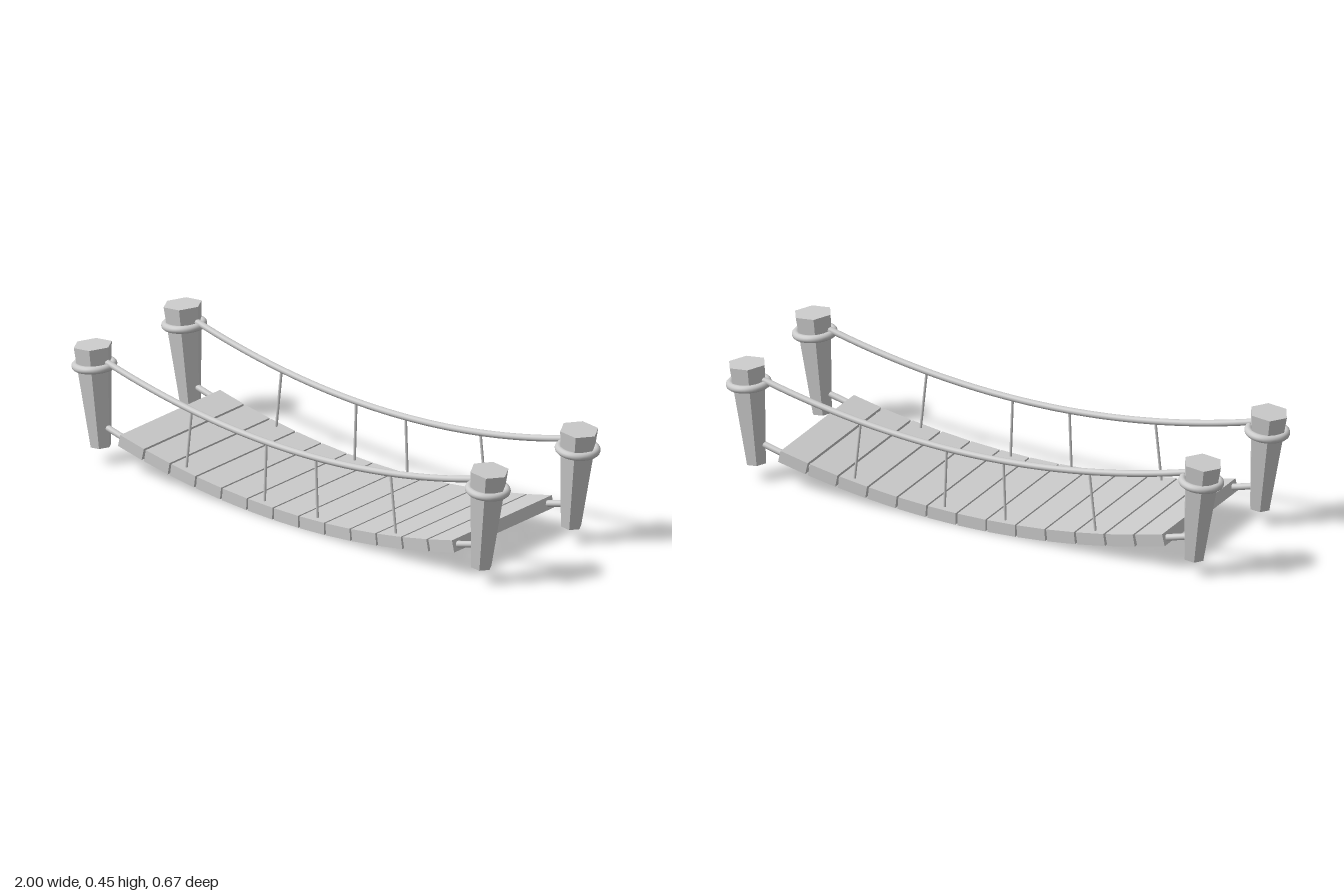
import * as THREE from 'three';

const SIDE_Z = 0.25;
const deckY = x => 0.023 + 0.157 * x * x;   // sagging line of the deck
const railY = x => 0.275 + 0.156 * x * x;   // sagging line of the hand ropes

export function createModel() {
  const group = new THREE.Group();
  group.name = 'ropeBridge';
  const smooth = new THREE.MeshStandardMaterial({ color: 0xcccccc });
  const flat = new THREE.MeshStandardMaterial({ color: 0xcccccc, flatShading: true });

  const add = (parent, name, geometry, material) => {
    const mesh = new THREE.Mesh(geometry, material);
    mesh.name = name;
    parent.add(mesh);
    return mesh;
  };

  // Rope following a height rule between -end and +end
  const rope = (name, heightAt, end, z, radius) => {
    const points = [];
    for (let i = 0; i <= 16; i++) {
      const x = -end + (2 * end * i) / 16;
      points.push(new THREE.Vector3(x, heightAt(x), z));
    }
    const curve = new THREE.CatmullRomCurve3(points);
    add(group, name, new THREE.TubeGeometry(curve, 48, radius, 10), smooth);
  };

  // Planks, each turned to follow the sag
  const plankGeometry = new THREE.BoxGeometry(0.113, 0.046, 0.556);
  for (let i = -6; i <= 6; i++) {
    const x = i * 0.1205;
    const plank = add(group, 'plank', plankGeometry, flat);
    plank.position.set(x, deckY(x), 0);
    plank.rotation.z = Math.atan(2 * 0.157 * x);
  }

  // Tapered hexagonal posts leaning outwards, each with a rope ring
  const postGeometry = new THREE.CylinderGeometry(0.0725, 0.039, 0.382, 6);
  postGeometry.rotateY(Math.PI / 2);
  postGeometry.translate(0, 0.191, 0);
  const ringGeometry = new THREE.TorusGeometry(0.068, 0.0145, 12, 40);
  ringGeometry.rotateX(Math.PI / 2);
  for (const sx of [-1, 1]) {
    for (const sz of [-1, 1]) {
      const corner = new THREE.Group();
      corner.name = 'postAssembly';
      add(corner, 'post', postGeometry, flat);
      add(corner, 'postRing', ringGeometry, smooth).position.y = 0.307;
      corner.position.set(sx * 0.886, 0.061, sz * SIDE_Z);
      corner.rotation.z = -sx * 0.1;
      group.add(corner);
    }
  }

  // Hand ropes, deck ropes and thin hangers on both sides
  for (const z of [-SIDE_Z, SIDE_Z]) {
    rope('handRope', railY, 0.86, z, 0.012);
    rope('deckRope', deckY, 0.87, z, 0.012);
    for (const [topX, bottomX] of [[0.463, 0.49], [0.115, 0.124]]) {
      for (const sx of [-1, 1]) {
        const path = new THREE.LineCurve3(
          new THREE.Vector3(sx * topX, railY(topX), z),
          new THREE.Vector3(sx * bottomX, deckY(bottomX), z));
        add(group, 'hanger', new THREE.TubeGeometry(path, 1, 0.005, 8), smooth);
      }
    }
  }
  return group;
}
